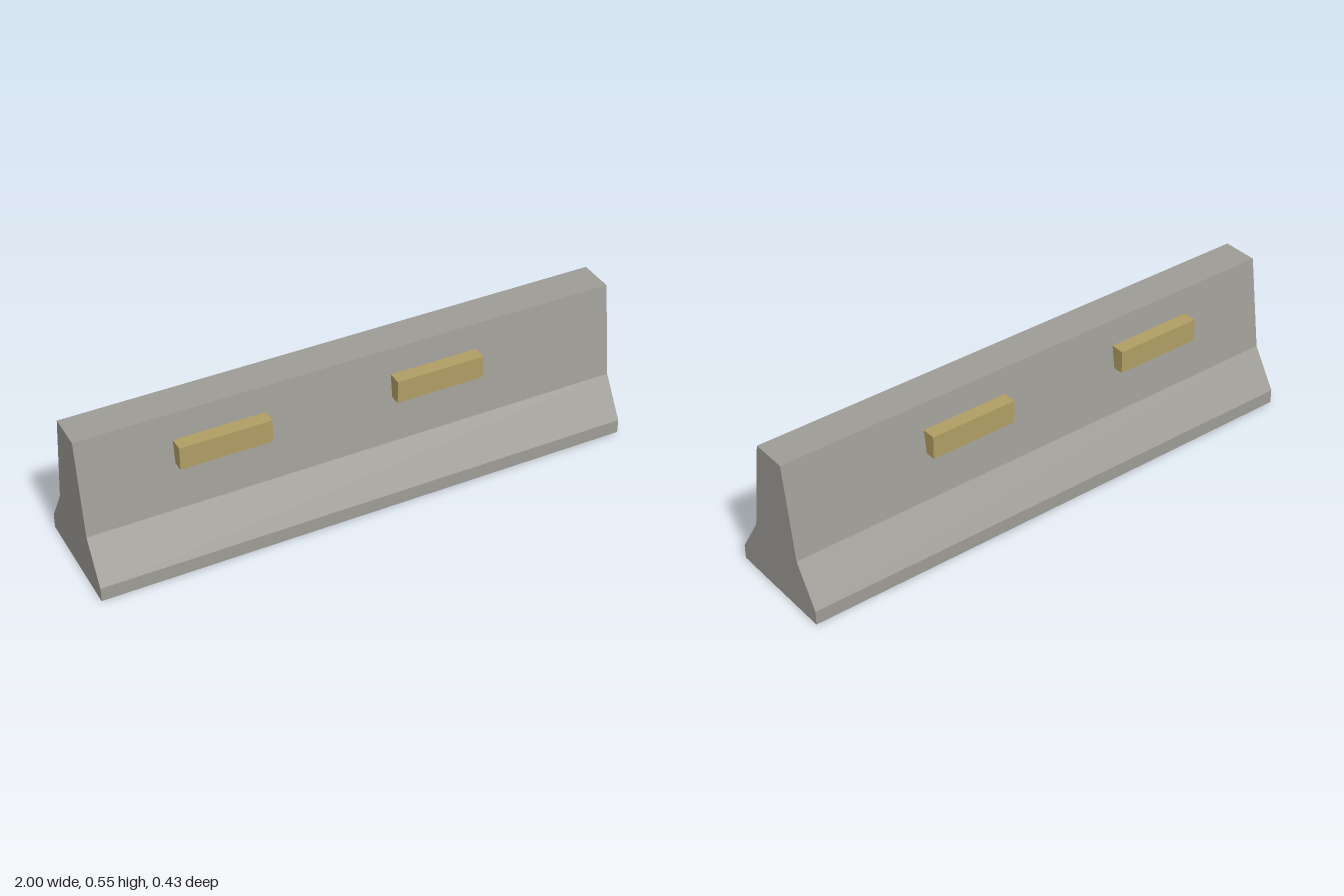
import * as THREE from 'three';

export function createModel() {
  const model = new THREE.Group();
  model.name = 'roadBarrier';
  const concrete = new THREE.MeshStandardMaterial({ name: 'concrete', color: 0x9e9c96 });
  const amber = new THREE.MeshStandardMaterial({ name: 'amberReflector', color: 0xb09e64 });

  // Half profile as [z, y], mirrored to close the cross-section
  const half = [[0.213, 0], [0.213, 0.053], [0.12, 0.2], [0.067, 0.548]];
  const mirrored = half.map(([z, y]) => [-z, y]).reverse();
  const profile = new THREE.Shape([...half, ...mirrored].map(([z, y]) => new THREE.Vector2(z, y)));

  // Concrete body, extruded along x
  const bodyGeometry = new THREE.ExtrudeGeometry(profile, { depth: 2, bevelEnabled: false });
  bodyGeometry.translate(0, 0, -1).rotateY(Math.PI / 2);
  const body = new THREE.Mesh(bodyGeometry, concrete);
  body.name = 'barrierBody';
  model.add(body);

  // Reflector blocks, let into both faces
  const blockGeometry = new THREE.BoxGeometry(0.333, 0.086, 0.063);
  for (const [face, side] of [['front', 1], ['back', -1]]) {
    for (const [end, x] of [['Right', -0.5], ['Left', 0.3]]) {
      const block = new THREE.Mesh(blockGeometry, amber);
      block.name = `${face}${end}Reflector`;
      block.position.set(x, 0.411, side * 0.1015);
      model.add(block);
    }
  }
  return model;
}
